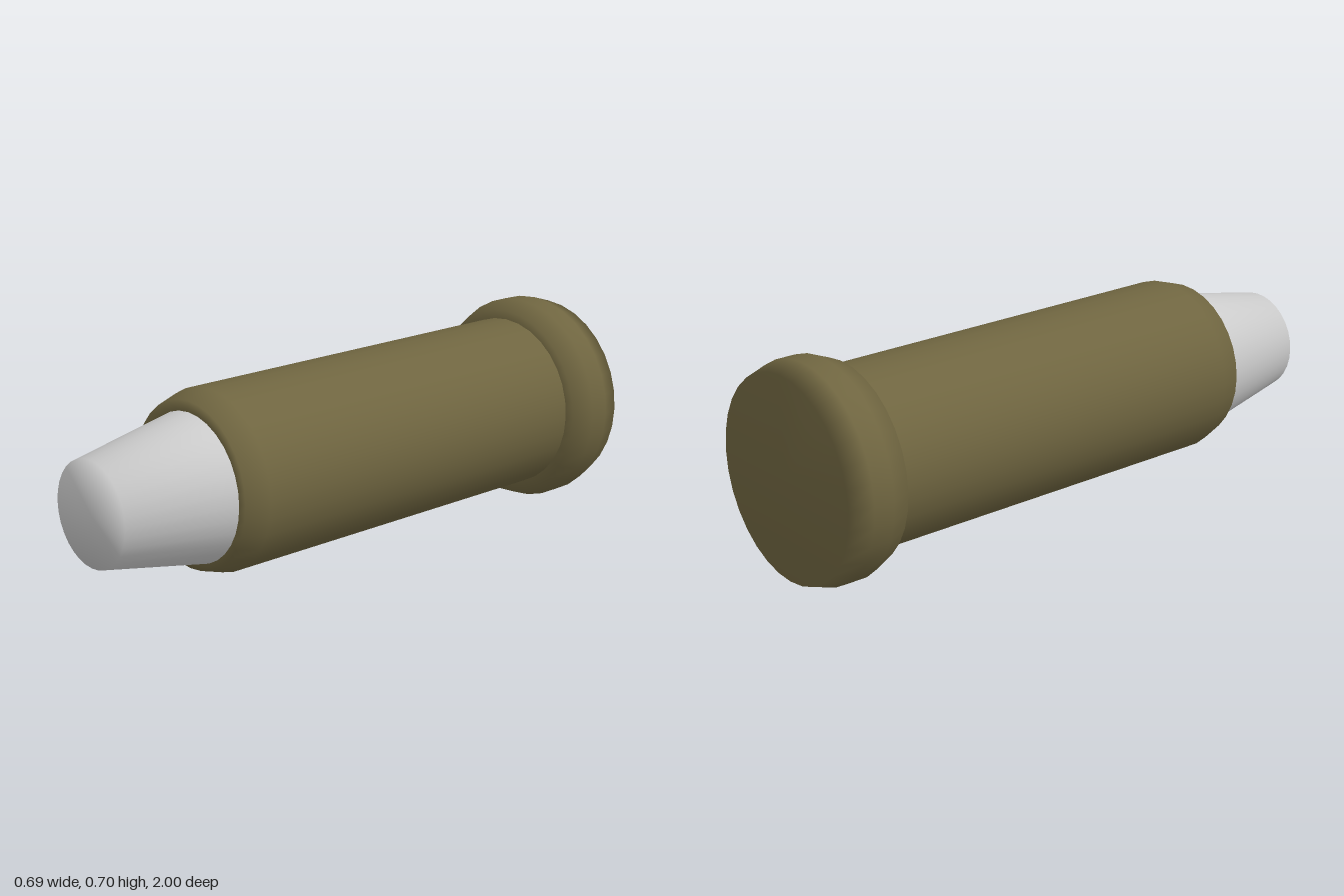
import * as THREE from 'three';

const SIDES = 32;

// Smooth turned part: profile of [radius, z], running from back to front
function turned(name, profile, color, height, tilt) {
  const points = profile.map(([r, z]) => new THREE.Vector2(r, z));
  const geometry = new THREE.LatheGeometry(points, SIDES);
  geometry.rotateX(Math.PI / 2);
  geometry.scale(0.98, 1, 1);
  const mesh = new THREE.Mesh(geometry, new THREE.MeshStandardMaterial({ color, side: THREE.DoubleSide }));
  mesh.name = name;
  mesh.position.y = height;
  mesh.rotation.x = -tilt;
  return mesh;
}

export function createModel() {
  const group = new THREE.Group();
  group.name = 'roundedCartridge';
  const olive = 0x6f6540;

  // Long sleeve with a chamfered front lip
  group.add(turned('sleeve', [
    [0.29, -0.85], [0.291, 0.55], [0.267, 0.63], [0.232, 0.63],
  ], olive, 0.363, 0.0105));

  // Bulging rim closed by a flat back
  group.add(turned('rearRim', [
    [0, -0.995], [0.327, -0.995], [0.35, -0.92], [0.35, -0.85], [0.322, -0.78], [0.27, -0.78],
  ], olive, 0.36, 0.0105));

  // Tapered tip seated in the sleeve
  group.add(turned('tip', [
    [0.24, 0.62], [0.168, 0.998], [0, 0.998],
  ], 0xcccccc, 0.355, 0.012));

  return group;
}
